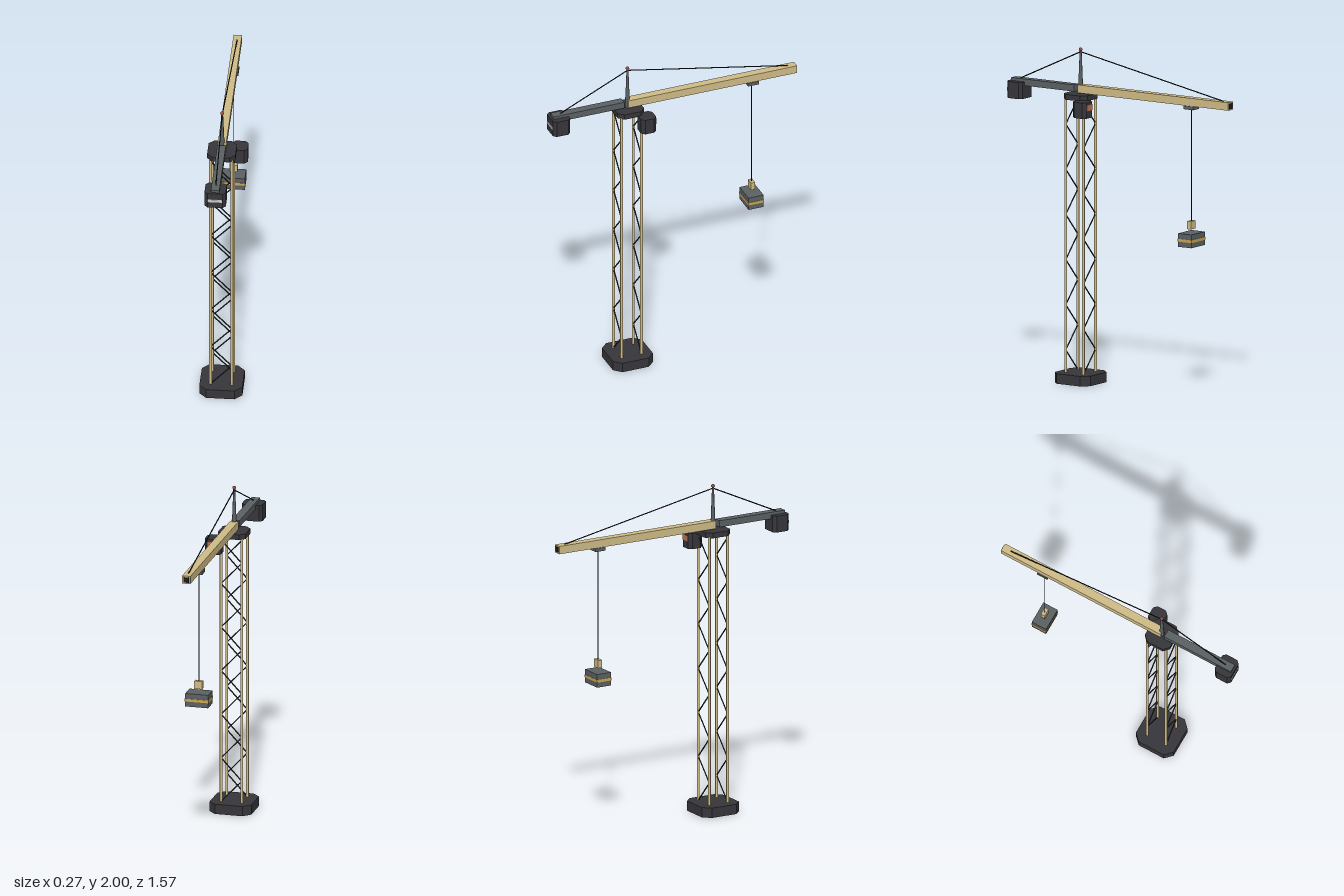
import * as THREE from 'three';

const mat = (name, color) => {
  const m = new THREE.MeshStandardMaterial({ color });
  m.name = name;
  return m;
};

export function createModel() {
  const crane = new THREE.Group();
  crane.name = 'towerCrane';

  const charcoal = mat('charcoal', 0x37363b);
  const slate = mat('slate grey', 0x5b6164);
  const tan = mat('sand yellow', 0xd0bc87);
  const steel = mat('brace steel', 0x2f3236);
  const black = mat('cable black', 0x1b1b1d);
  const amber = mat('amber stripe', 0xcda452);
  const pale = mat('pale plate', 0xcdccca);
  const red = mat('beacon red', 0x9c4a42);
  const orange = mat('window orange', 0xc4734f);

  const AX = -0.012, AZ = 0.29; // tower axis

  const add = (name, geo, material, x, y, z) => {
    const mesh = new THREE.Mesh(geo, material);
    mesh.name = name;
    mesh.position.set(x, y, z);
    crane.add(mesh);
    return mesh;
  };

  // Box given by its limits on each axis
  const box = (name, material, [x0, x1], [y0, y1], [z0, z1]) =>
    add(name, new THREE.BoxGeometry(x1 - x0, y1 - y0, z1 - z0), material,
      (x0 + x1) / 2, (y0 + y1) / 2, (z0 + z1) / 2);

  // Block with its four upright edges cut off
  const chamferBlock = (name, material, x, z, hw, hd, y0, y1, c) => {
    const s = new THREE.Shape([
      [hw, -hd + c], [hw, hd - c], [hw - c, hd], [-hw + c, hd],
      [-hw, hd - c], [-hw, -hd + c], [-hw + c, -hd], [hw - c, -hd],
    ].map(([a, b]) => new THREE.Vector2(a, b)));
    const geo = new THREE.ExtrudeGeometry(s, { depth: y1 - y0, bevelEnabled: false });
    geo.rotateX(-Math.PI / 2);
    return add(name, geo, material, x, y0, z);
  };

  // Round bar between two points
  const bar = (name, material, a, b, r, sides = 6) => {
    const p = new THREE.Vector3(...a), q = new THREE.Vector3(...b);
    const d = q.clone().sub(p);
    const mid = p.clone().add(q).multiplyScalar(0.5);
    const mesh = add(name, new THREE.CylinderGeometry(r, r, d.length(), sides), material, mid.x, mid.y, mid.z);
    mesh.quaternion.setFromUnitVectors(new THREE.Vector3(0, 1, 0), d.normalize());
    return mesh;
  };

  // Base and slewing platform
  chamferBlock('base', charcoal, AX, AZ, 0.127, 0.127, 0, 0.06, 0.043);
  chamferBlock('platform', charcoal, AX, AZ, 0.084, 0.084, 1.695, 1.727, 0.032);

  // Tower legs, with mirrored zigzag braces on the front and back
  const H = 0.063, Y0 = 0.06, Y1 = 1.7, STEPS = 12;
  const pitch = (Y1 - Y0 - 0.02) / STEPS;
  for (const sz of [1, -1]) {
    const z = AZ + sz * H;
    for (const sx of [1, -1])
      bar('towerLeg', tan, [AX + sx * H, Y0, z], [AX + sx * H, Y1, z], 0.0085, 10);
    for (let i = 0; i < STEPS; i++) {
      const s = (i % 2 ? 1 : -1) * sz;
      bar('towerBrace', steel, [AX + s * H, Y0 + i * pitch, z],
        [AX - s * H, Y0 + (i + 1) * pitch, z], 0.004);
    }
  }

  // Jib with a dark end plate
  box('jib', tan, [AX - 0.025, AX + 0.025], [1.732, 1.78], [-0.78, 0.295]);
  box('jibEndPlate', black, [AX - 0.016, AX + 0.016], [1.74, 1.772], [-0.784, -0.78]);

  // Counter jib, counterweight and its pale plate
  box('counterJib', slate, [AX - 0.025, AX + 0.025], [1.737, 1.777], [0.32, 0.77]);
  chamferBlock('counterweight', charcoal, AX, 0.728, 0.063, 0.055, 1.66, 1.76, 0.018);
  box('counterweightPlate', pale, [AX - 0.043, AX + 0.043], [1.7, 1.719], [0.783, 0.786]);

  // Mast head, beacon and stays
  add('mast', new THREE.CylinderGeometry(0.006, 0.016, 0.258, 8), slate, AX, 1.854, AZ);
  add('beacon', new THREE.SphereGeometry(0.011, 12, 8), red, AX, 1.989, AZ);
  bar('jibStay', black, [AX, 1.975, AZ], [AX, 1.78, -0.73], 0.0035);
  bar('counterStay', black, [AX, 1.975, AZ], [AX, 1.775, 0.72], 0.0035);

  // Operator cab with a window facing along the jib
  chamferBlock('cab', charcoal, 0.087, 0.208, 0.048, 0.048, 1.605, 1.7, 0.02);
  box('cabWindow', orange, [0.057, 0.117], [1.65, 1.685], [0.157, 0.161]);

  // Trolley, hoist cable, hook block and load
  const LZ = -0.5;
  box('trolley', slate, [AX - 0.03, AX + 0.03], [1.711, 1.732], [LZ - 0.034, LZ + 0.034]);
  bar('hoistCable', black, [AX, 1.04, LZ], [AX, 1.711, LZ], 0.003);
  box('hookBlock', tan, [AX - 0.024, AX + 0.024], [0.995, 1.043], [LZ - 0.013, LZ + 0.013]);
  box('load', slate, [AX - 0.07, AX + 0.07], [0.893, 0.973], [LZ - 0.048, LZ + 0.048]);
  box('loadStripe', amber, [AX - 0.072, AX + 0.072], [0.924, 0.941], [LZ - 0.05, LZ + 0.05]);

  return crane;
}
